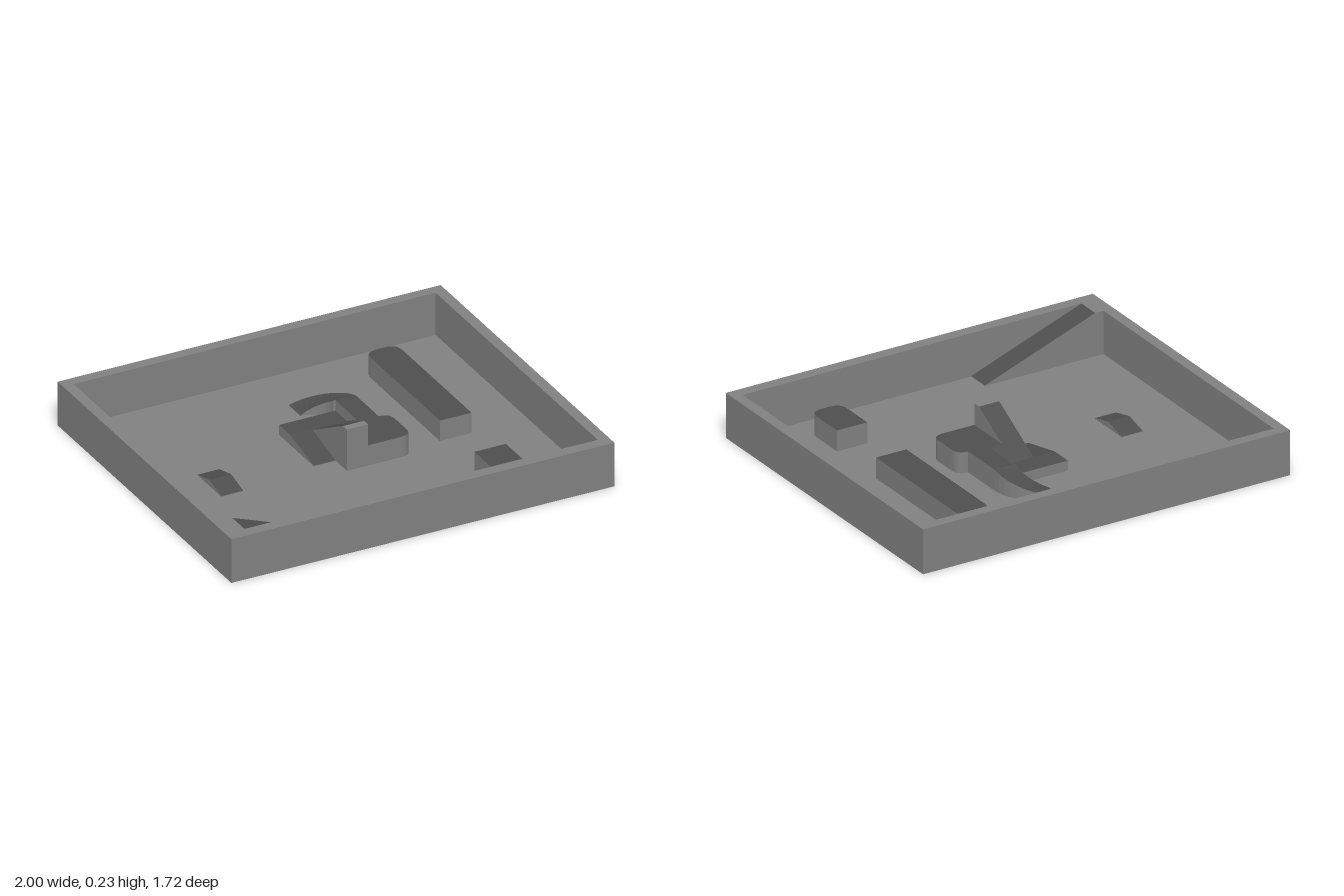
import * as THREE from 'three';

const FLOOR = 0.008;
const grey = new THREE.MeshStandardMaterial({ color: 0x808080 });
grey.name = 'grey body';
const dark = new THREE.MeshStandardMaterial({ color: 0x4e4e4e });
dark.name = 'dark track surface';

// Shape from [x, z, cornerRadius] points
function outline(points) {
  const shape = new THREE.Shape();
  const n = points.length;
  points.forEach(([x, z, r = 0], i) => {
    const corner = new THREE.Vector2(x, -z);
    const toward = (j) => {
      const p = points[(j + n) % n];
      const d = new THREE.Vector2(p[0], -p[1]).sub(corner).setLength(r);
      return d.add(corner);
    };
    const a = toward(i - 1), b = toward(i + 1);
    if (i === 0) shape.moveTo(a.x, a.y); else shape.lineTo(a.x, a.y);
    if (r > 0) shape.quadraticCurveTo(corner.x, corner.y, b.x, b.y);
  });
  return shape;
}

// Flat-topped block standing on y0
function block(name, shape, y0, y1, materials) {
  const geo = new THREE.ExtrudeGeometry(shape, { depth: y1 - y0, bevelEnabled: false, curveSegments: 6 });
  geo.rotateX(-Math.PI / 2).translate(0, y0, 0);
  const mesh = new THREE.Mesh(geo, materials);
  mesh.name = name;
  return mesh;
}

// Box whose top follows height(x, z)
function ramp(name, x0, x1, z0, z1, height, segX = 1, segZ = 1, top = dark) {
  let geo = new THREE.BoxGeometry(x1 - x0, 1, z1 - z0, segX, 1, segZ);
  geo.translate((x0 + x1) / 2, 0.5, (z0 + z1) / 2);
  const p = geo.attributes.position;
  for (let i = 0; i < p.count; i++) {
    p.setY(i, p.getY(i) > 0.5 ? height(p.getX(i), p.getZ(i)) : FLOOR);
  }
  geo = geo.toNonIndexed();
  geo.computeVertexNormals();
  const mesh = new THREE.Mesh(geo, [grey, grey, top, grey, grey, grey]);
  mesh.name = name;
  return mesh;
}

const lerp = THREE.MathUtils.lerp;
const linear = (a, b, ya, yb) => (t) => lerp(ya, yb, THREE.MathUtils.clamp((t - a) / (b - a), 0, 1));

// Quarter-turn ramp descending to the floor
function curvedRamp(cx, cz, rIn, rOut, top) {
  let geo = new THREE.BoxGeometry(1, 1, 1, 10, 1, 1);
  geo.translate(0.5, 0.5, 0.5);
  const p = geo.attributes.position;
  for (let i = 0; i < p.count; i++) {
    const u = p.getX(i), t = u * Math.PI / 2;
    const r = lerp(rIn, rOut, p.getZ(i));
    const y = p.getY(i) > 0.5 ? lerp(top, FLOOR + 0.003, u) : FLOOR;
    p.setXYZ(i, cx + r * Math.cos(t), y, cz - r * Math.sin(t));
  }
  geo = geo.toNonIndexed();
  geo.computeVertexNormals();
  const mesh = new THREE.Mesh(geo, [grey, grey, dark, grey, grey, grey]);
  mesh.name = 'curvedRamp';
  return mesh;
}

export function createModel() {
  const model = new THREE.Group();
  model.name = 'walledCourse';

  // Tray: floor and surrounding wall
  const floor = new THREE.Mesh(new THREE.BoxGeometry(1.96, FLOOR, 1.68), grey);
  floor.position.y = FLOOR / 2;
  floor.name = 'floor';
  const wall = outline([[-1, 0.86], [1, 0.86], [1, -0.86], [-1, -0.86]]);
  wall.holes.push(outline([[-0.945, 0.8], [-0.945, -0.805], [0.945, -0.805], [0.945, 0.8]]));
  model.add(floor, block('outerWall', wall, 0, 0.23, grey));

  // Corner ledge and its long entry ramp
  const low = FLOOR + 0.003;
  const entry = linear(-0.9, -0.3, 0.23, low);
  model.add(
    ramp('cornerLedge', -0.95, -0.9, 0.68, 0.8, () => 0.23, 1, 1, grey),
    ramp('entryRamp', -0.9, -0.3, 0.68, 0.8, (x) => entry(x)),
  );

  // Small hump
  model.add(ramp('hump', -0.66, -0.545, -0.12, 0.115,
    (x, z) => (Math.abs(z + 0.0025) < 0.01 ? 0.04 : low), 1, 2));

  // Two raised lanes with rounded outer ends
  const H = 0.115;
  model.add(
    block('longLane', outline([[0.485, 0.11], [0.65, 0.11], [0.65, -0.635, 0.06], [0.485, -0.635, 0.06]]), FLOOR, H, [dark, grey]),
    block('shortLane', outline([[0.485, 0.45], [0.65, 0.45], [0.65, 0.685, 0.06], [0.485, 0.685, 0.06]]), FLOOR, H, [dark, grey]),
  );

  // Central climb: first ramp, landing, steep ramp with lookout top
  const first = linear(-0.175, 0.055, 0.06, low);
  const steep = linear(-0.175, 0.125, 0.06, 0.225);
  const side = linear(-0.175, -0.08, 0.06, H);
  model.add(
    ramp('firstRamp', -0.145, -0.03, -0.175, 0.055, (x, z) => first(z)),
    ramp('landing', -0.145, 0.15, -0.29, -0.175, () => 0.06),
    ramp('steepRamp', -0.03, 0.08, -0.175, 0.125, (x, z) => steep(z)),
    ramp('lookout', -0.03, 0.08, 0.125, 0.165, () => 0.225, 1, 1, grey),
    ramp('sideRamp', 0.08, 0.15, -0.175, -0.08, (x, z) => side(z)),
  );

  // Middle deck leading to the curved descent
  const deck = outline([
    [0.15, -0.29], [0.255, -0.29], [0.255, -0.06], [0.31, -0.06, 0.055],
    [0.31, 0.165, 0.055], [0.08, 0.165], [0.08, -0.08], [0.15, -0.08],
  ]);
  model.add(block('deck', deck, FLOOR, H, [dark, grey]));
  model.add(curvedRamp(0.027, -0.29, 0.113, 0.228, H));

  return model;
}
